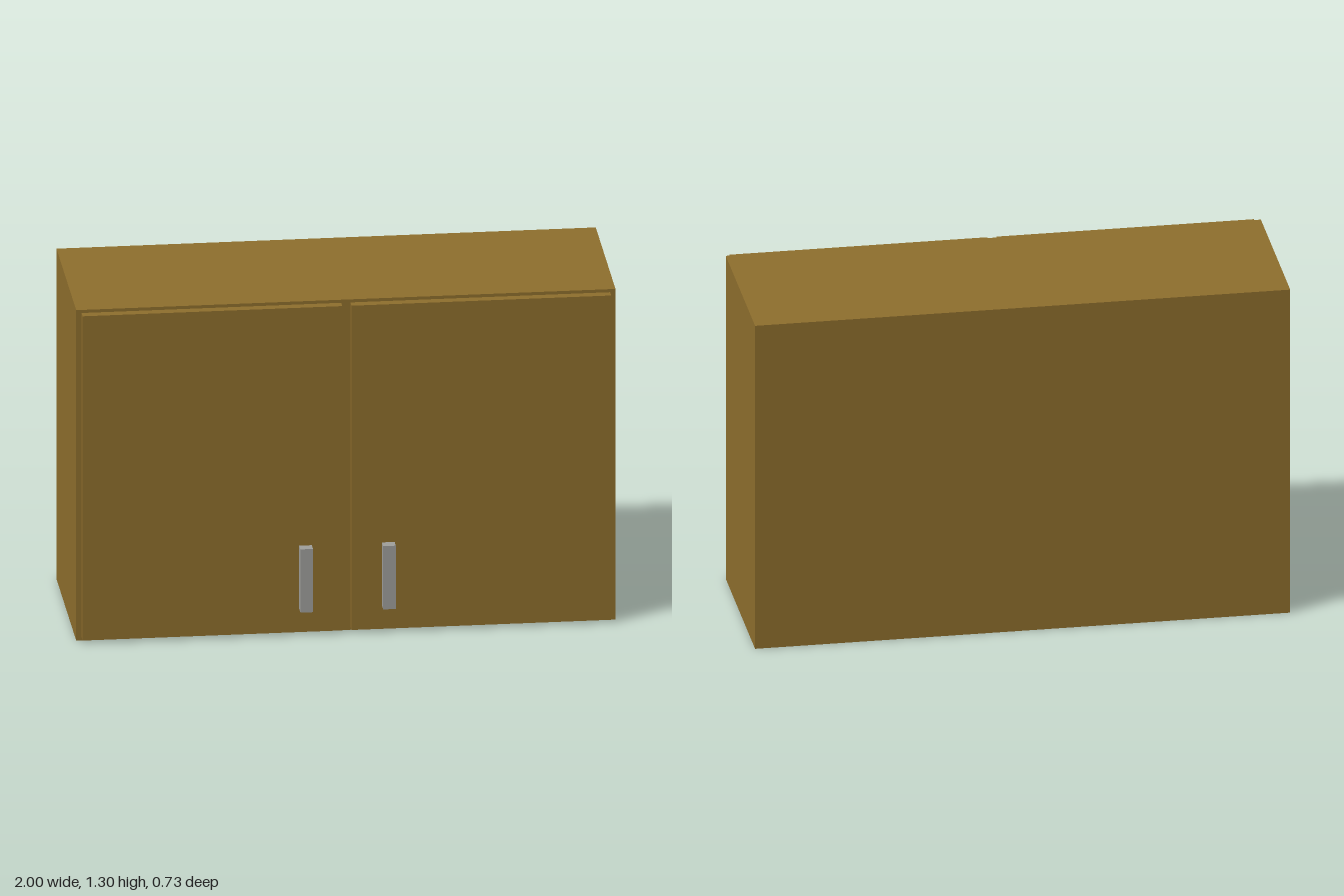
import * as THREE from 'three';

export function createModel() {
  const wood = new THREE.MeshStandardMaterial({ color: 0x8f6f2d });
  wood.name = 'wood';
  const metal = new THREE.MeshStandardMaterial({ color: 0xa0a09c });
  metal.name = 'metal';

  const cabinet = new THREE.Group();
  cabinet.name = 'wallCabinet';

  // Adds a box spanning two opposite corners
  function addBox(name, material, [x0, y0, z0], [x1, y1, z1]) {
    const mesh = new THREE.Mesh(new THREE.BoxGeometry(x1 - x0, y1 - y0, z1 - z0), material);
    mesh.position.set((x0 + x1) / 2, (y0 + y1) / 2, (z0 + z1) / 2);
    mesh.name = name;
    cabinet.add(mesh);
  }

  // Cabinet body
  addBox('body', wood, [-1, 0, -0.363], [1, 1.3, 0.288]);

  // Mirrored pair of doors with bar handles
  for (const [side, s] of [['left', 1], ['right', -1]]) {
    const span = (a, b) => (s > 0 ? [a, b] : [-b, -a]);
    const [d0, d1] = span(0.017, 0.98);
    addBox(side + 'Door', wood, [d0, 0.012, 0.288], [d1, 1.288, 0.323]);
    const [h0, h1] = span(0.13, 0.177);
    addBox(side + 'Handle', metal, [h0, 0.103, 0.323], [h1, 0.352, 0.363]);
  }

  return cabinet;
}
